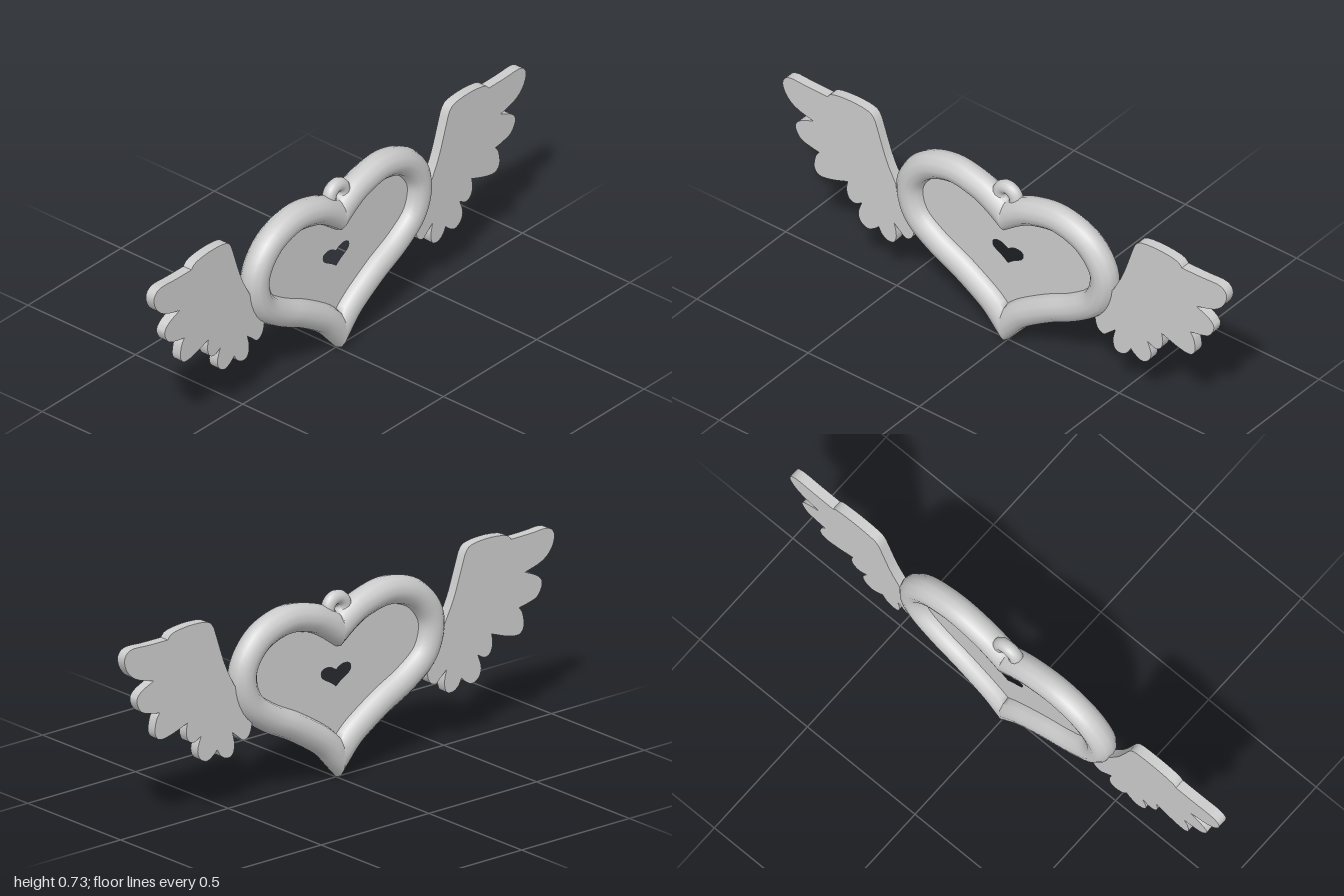
import * as THREE from 'three';
import { toCreasedNormals } from 'three/addons/utils/BufferGeometryUtils.js';

const RADIUS = 0.053;
const material = new THREE.MeshStandardMaterial({ color: 0xcccccc });
const twoSided = new THREE.MeshStandardMaterial({ color: 0xcccccc, side: THREE.DoubleSide });

// All outlines are drawn as [z, y] pairs.
const spline = (pts) => new THREE.SplineCurve(pts.map(([z, y]) => new THREE.Vector2(z, y)));

// Half of the frame's centre line, from the top cusp to the bottom tip
const heartHalf = spline([
  [0, 0.555], [0.05, 0.591], [0.12, 0.625], [0.235, 0.645], [0.35, 0.61], [0.42, 0.535],
  [0.435, 0.455], [0.4, 0.365], [0.31, 0.295], [0.2, 0.238], [0.1, 0.176], [0.05, 0.137], [0, 0.081],
]);
const holeHalf = spline([
  [0, 0.402], [0.025, 0.416], [0.05, 0.418], [0.067, 0.408], [0.066, 0.388], [0.05, 0.374], [0.025, 0.36], [0, 0.341],
]);

// Mirrors half an outline into a closed heart
function heartPoints(half, n) {
  const pts = half.getPoints(n);
  const mirrored = pts.slice(1, -1).reverse().map((p) => new THREE.Vector2(-p.x, p.y));
  return [...pts, ...mirrored];
}

// Sweeps a 12-sided round section along half the heart, mitred on the z = 0 plane
function frameHalf(side) {
  const steps = 48, sides = 12, pos = [], index = [];
  for (let i = 0; i <= steps; i++) {
    const c = heartHalf.getPointAt(i / steps);
    const t = heartHalf.getTangentAt(i / steps);
    for (let j = 0; j <= sides; j++) {
      const a = (j / sides) * Math.PI * 2;
      const r = RADIUS * Math.cos(a);
      let z = c.x - t.y * r, y = c.y + t.x * r;
      // End rings, and points past the middle, slide along the tube onto the plane
      if (i === 0 || i === steps || z < 0) {
        y -= (z / t.x) * t.y;
        z = 0;
      }
      pos.push(RADIUS * Math.sin(a), y, side * z);
      if (i < steps && j < sides) {
        const p = i * (sides + 1) + j, q = p + sides + 1;
        if (side > 0) index.push(p, q, p + 1, p + 1, q, q + 1);
        else index.push(p, p + 1, q, p + 1, q + 1, q);
      }
    }
  }
  const geo = new THREE.BufferGeometry();
  geo.setAttribute('position', new THREE.Float32BufferAttribute(pos, 3));
  geo.setIndex(index);
  return toCreasedNormals(geo, 0.9);
}

// Each run is one smooth edge; the runs meet in sharp notches
const wingRuns = [
  [[0.487, 0.462], [0.53, 0.547], [0.567, 0.654], [0.588, 0.71], [0.62, 0.731], [0.7, 0.736], [0.775, 0.726], [0.797, 0.706]],
  [[0.797, 0.706], [0.888, 0.707], [0.957, 0.71], [0.989, 0.696], [0.998, 0.665], [0.979, 0.622], [0.936, 0.589], [0.861, 0.568]],
  [[0.861, 0.568], [0.92, 0.541], [0.941, 0.509], [0.92, 0.466], [0.877, 0.45], [0.834, 0.442]],
  [[0.834, 0.442], [0.85, 0.417], [0.856, 0.369], [0.834, 0.342], [0.781, 0.348], [0.706, 0.374]],
  [[0.706, 0.374], [0.711, 0.337], [0.7, 0.305], [0.674, 0.294], [0.642, 0.31]],
  [[0.642, 0.31], [0.658, 0.262], [0.647, 0.226], [0.615, 0.21], [0.583, 0.226], [0.567, 0.242]],
  [[0.567, 0.242], [0.551, 0.215], [0.524, 0.2], [0.497, 0.206], [0.487, 0.242], [0.497, 0.29]],
  [[0.497, 0.29], [0.471, 0.268], [0.444, 0.248], [0.417, 0.264], [0.406, 0.306], [0.41, 0.354]],
];

function wingGeometry() {
  const pts = wingRuns.flatMap((run) => spline(run).getPoints(18).slice(0, -1));
  pts.push(new THREE.Vector2(0.41, 0.354), new THREE.Vector2(0.435, 0.42));
  const geo = new THREE.ExtrudeGeometry(new THREE.Shape(pts), { depth: 0.038, bevelEnabled: false });
  geo.translate(0, 0, -0.019).rotateY(-Math.PI / 2);
  return toCreasedNormals(geo, 0.6);
}

export function createModel() {
  const group = new THREE.Group();
  const add = (name, geo, mat = material) => {
    const mesh = new THREE.Mesh(geo, mat);
    mesh.name = name;
    group.add(mesh);
    return mesh;
  };

  // Round heart-shaped frame
  add('frameLeft', frameHalf(1));
  add('frameRight', frameHalf(-1));

  // Thin plate with a small heart-shaped opening
  const plate = new THREE.Shape(heartPoints(heartHalf, 60));
  plate.holes.push(new THREE.Path(heartPoints(holeHalf, 24)));
  add('plate', new THREE.ShapeGeometry(plate).rotateY(-Math.PI / 2), twoSided);

  // Hanging ring in the top cusp
  const ring = add('ring', new THREE.TorusGeometry(0.038, 0.026, 12, 32).rotateY(Math.PI / 2));
  ring.position.y = 0.636;

  // Pair of flat feathered wings
  const wing = wingGeometry();
  add('wingFront', wing);
  add('wingBack', wing).rotation.y = Math.PI;

  return group;
}
